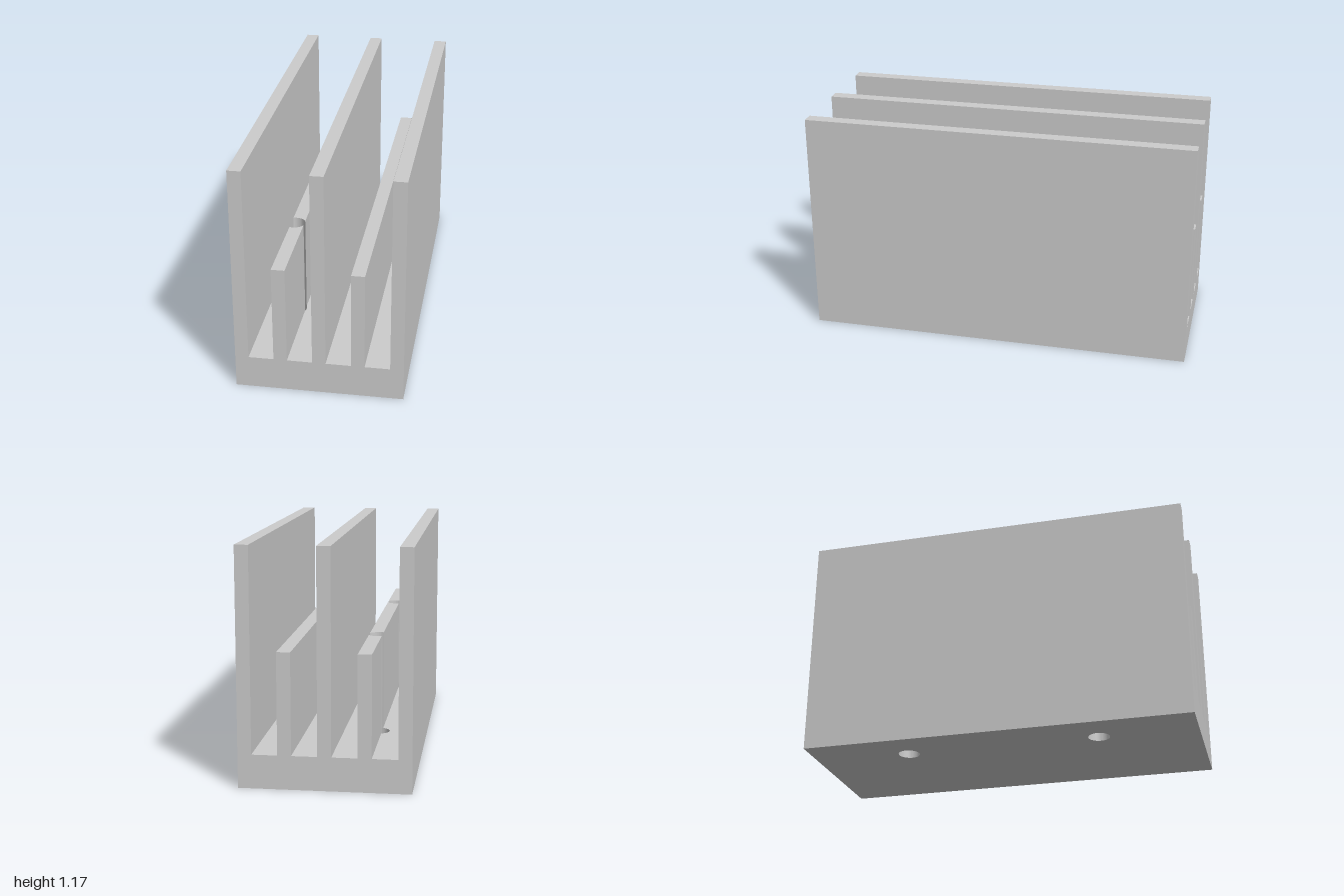
import * as THREE from 'three';
import { toCreasedNormals } from 'three/addons/utils/BufferGeometryUtils.js';

const U = 1 / 30;                       // one design unit
const WIDTH = 25 * U, LENGTH = 60 * U, BASE = 5 * U, FIN = 2 * U;
const TALL = 30 * U, SHORT = 15 * U;
const HOLE = { x: -6.25 * U, z: 15 * U, r: 1.65 * U };
const PITCH = (WIDTH - FIN) / 4;

const material = new THREE.MeshStandardMaterial({ color: 0xcccccc });

function addMesh(group, name, geometry) {
  const mesh = new THREE.Mesh(geometry, material);
  mesh.name = name;
  group.add(mesh);
}

// Raise a plan shape (x, -z) to a given height, starting at y.
function raise(shape, height, y) {
  const geo = new THREE.ExtrudeGeometry(shape, { depth: height, bevelEnabled: false, curveSegments: 24 });
  geo.rotateX(-Math.PI / 2).translate(0, y, 0);
  return toCreasedNormals(geo, 0.5);
}

// Base plate with two drilled holes
function baseGeometry() {
  const w = WIDTH / 2, l = LENGTH / 2;
  const shape = new THREE.Shape();
  shape.moveTo(-w, -l).lineTo(w, -l).lineTo(w, l).lineTo(-w, l).closePath();
  for (const s of [-1, 1]) {
    shape.holes.push(new THREE.Path().absarc(HOLE.x, s * HOLE.z, HOLE.r, 0, Math.PI * 2, true));
  }
  return raise(shape, BASE, 0);
}

// One stretch of the drilled fin; an end is either square or scooped by a hole
function finPiece(centre, from, to, scoopFrom, scoopTo) {
  const xL = centre - FIN / 2, xR = centre + FIN / 2;
  const aL = Math.acos((xL - HOLE.x) / HOLE.r), aR = Math.acos((xR - HOLE.x) / HOLE.r);
  const shape = new THREE.Shape();
  if (scoopFrom) shape.absarc(HOLE.x, from, HOLE.r, aL, aR, true);
  else shape.moveTo(xL, from).lineTo(xR, from);
  if (scoopTo) shape.absarc(HOLE.x, to, HOLE.r, -aR, -aL, true);
  else shape.lineTo(xR, to).lineTo(xL, to);
  shape.closePath();
  return raise(shape, SHORT, BASE);
}

export function createModel() {
  const group = new THREE.Group();
  group.name = 'heatSink';
  addMesh(group, 'basePlate', baseGeometry());

  // Five fins, alternating tall and short; the second one is cut by the holes
  for (let i = -2; i <= 2; i++) {
    const x = i * PITCH;
    if (i === -1) {
      const fin = new THREE.Group();
      fin.name = 'drilledShortFin';
      addMesh(fin, 'backStretch', finPiece(x, HOLE.z, LENGTH / 2, true, false));
      addMesh(fin, 'middleStretch', finPiece(x, -HOLE.z, HOLE.z, true, true));
      addMesh(fin, 'frontStretch', finPiece(x, -LENGTH / 2, -HOLE.z, false, true));
      group.add(fin);
      continue;
    }
    const height = i % 2 === 0 ? TALL : SHORT;
    const geo = new THREE.BoxGeometry(FIN, height, LENGTH).translate(x, BASE + height / 2, 0);
    addMesh(group, height === TALL ? 'tallFin' : 'shortFin', geo);
  }
  return group;
}
